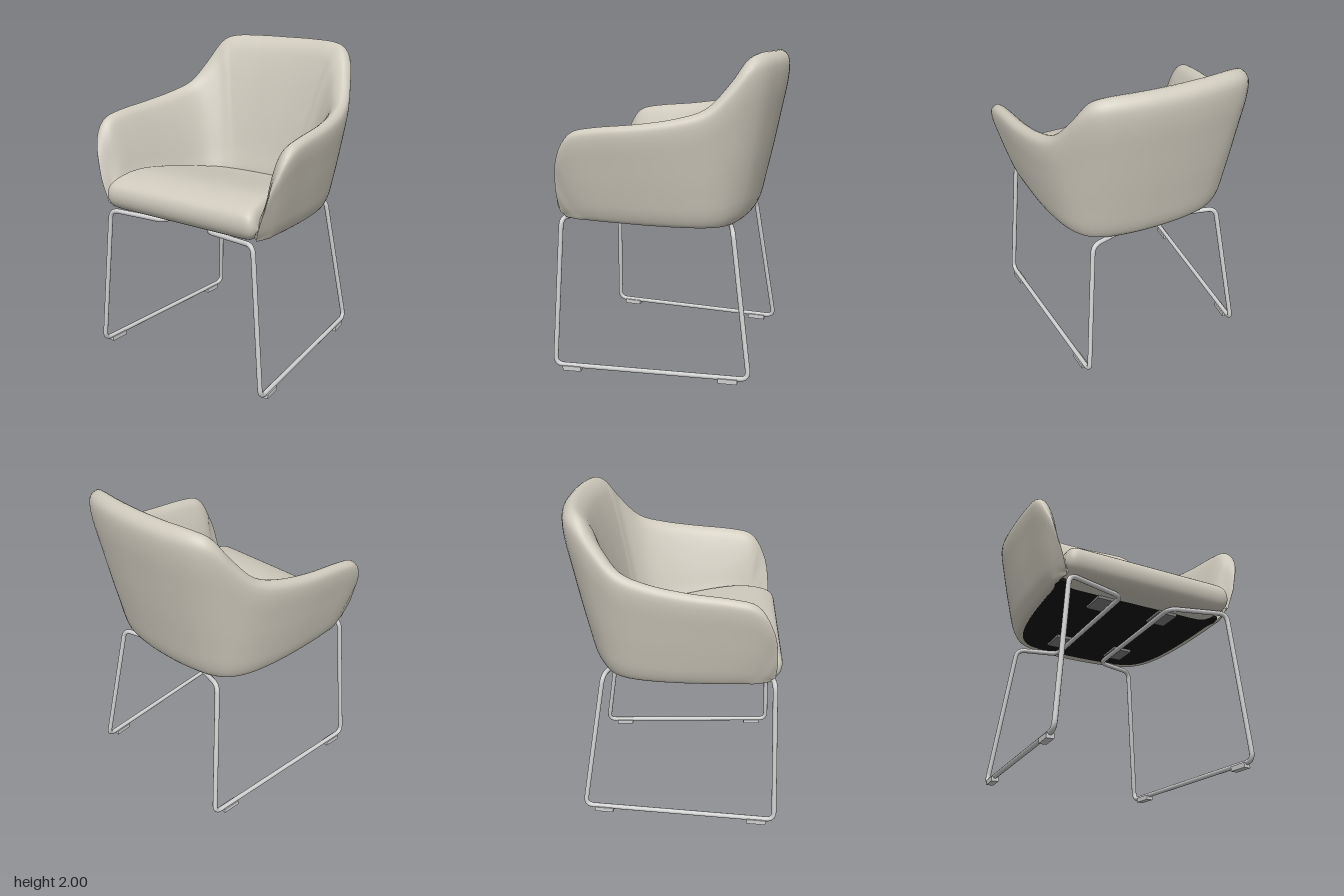
import * as THREE from 'three';

const fabric = new THREE.MeshStandardMaterial({ color: 0xcfcabd, side: THREE.DoubleSide });
fabric.name = 'fabric';
const steel = new THREE.MeshStandardMaterial({ color: 0xd0d0d0 });
steel.name = 'steel';
const black = new THREE.MeshStandardMaterial({ color: 0x151515 });
black.name = 'black';
const grey = new THREE.MeshStandardMaterial({ color: 0x808080 });
grey.name = 'grey';

const V = (x, y, z) => new THREE.Vector3(x, y, z);

// Height of the gently sloping underside
const baseY = (z) => 0.967 + 0.035 * z;

// Smooth surface over a grid; at(u, v) gives a point for u, v in 0..1
function gridSurface(at, nu, nv) {
  const pos = [], index = [];
  for (let i = 0; i <= nu; i++) {
    for (let j = 0; j <= nv; j++) pos.push(...at(i / nu, j / nv).toArray());
  }
  for (let i = 0; i < nu; i++) {
    for (let j = 0; j < nv; j++) {
      const a = i * (nv + 1) + j, b = a + nv + 1;
      index.push(a, b, a + 1, b, b + 1, a + 1);
    }
  }
  const geo = new THREE.BufferGeometry();
  geo.setAttribute('position', new THREE.Float32BufferAttribute(pos, 3));
  geo.setIndex(index);
  geo.computeVertexNormals();
  return geo;
}

function addMesh(parent, name, geo, mat) {
  const mesh = new THREE.Mesh(geo, mat);
  mesh.name = name;
  parent.add(mesh);
  return mesh;
}

// Shell stations from arm front to middle of the back:
// rim crown, outer foot, inner foot, half thickness
const stations = [
  [[0.57, 1.03, 0.62], [0.555, 1.0, 0.605], [0.545, 1.03, 0.6], 0.01],
  [[0.61, 1.2, 0.605], [0.585, 1.012, 0.55], [0.545, 1.1, 0.56], 0.035],
  [[0.66, 1.41, 0.572], [0.6, 1.015, 0.48], [0.535, 1.14, 0.48], 0.042],
  [[0.688, 1.53, 0.5], [0.605, 1.012, 0.4], [0.52, 1.15, 0.4], 0.043],
  [[0.69, 1.568, 0.36], [0.605, 1.01, 0.3], [0.495, 1.14, 0.28], 0.043],
  [[0.676, 1.593, 0.1], [0.595, 1.0, 0.08], [0.46, 1.1, 0.07], 0.045],
  [[0.643, 1.628, -0.13], [0.57, 0.995, -0.12], [0.432, 1.075, -0.06], 0.047],
  [[0.597, 1.685, -0.3], [0.53, 0.99, -0.27], [0.39, 1.06, -0.17], 0.05],
  [[0.54, 1.82, -0.425], [0.468, 0.985, -0.37], [0.325, 1.05, -0.235], 0.055],
  [[0.482, 1.95, -0.515], [0.38, 0.98, -0.43], [0.25, 1.05, -0.268], 0.065],
  [[0.4, 1.992, -0.572], [0.28, 0.975, -0.465], [0.17, 1.05, -0.288], 0.072],
  [[0.2, 2.0, -0.608], [0.14, 0.97, -0.485], [0.08, 1.05, -0.295], 0.076],
];
const middle = [[0, 2.0, -0.616], [0, 0.97, -0.49], [0, 1.05, -0.296], 0.077];

// Mirrored curve through one column of the stations
function stationCurve(pick) {
  const half = stations.map(pick);
  const mirrored = half.map(([x, y, z]) => [-x, y, z]).reverse();
  const pts = [...half, pick(middle), ...mirrored].map((p) => V(...p));
  return new THREE.CatmullRomCurve3(pts, false, 'catmullrom', 0.5);
}
const rim = stationCurve((s) => s[0]);
const outer = stationCurve((s) => s[1]);
const inner = stationCurve((s) => s[2]);
const half = stationCurve((s) => [0, s[3], 0]);

// Outward direction in plan
function outward(u) {
  const t = rim.getTangent(u);
  return V(-t.z, 0, t.x).normalize();
}

// Cross-section of the shell: underside, outer face, rim, inner face
function section(u) {
  const R = rim.getPoint(u), O = outer.getPoint(u), I = inner.getPoint(u);
  const h = half.getPoint(u).y, n = outward(u);
  const mix = (a, s, off) => a.clone().lerp(R, s).addScaledVector(n, off * h);
  const under = O.clone().addScaledVector(n, -1.6 * h);
  under.y = Math.min(O.y, baseY(under.z) + 0.004);
  const foot = O.clone().addScaledVector(n, -0.6 * h);
  foot.y = Math.min(O.y, baseY(foot.z));
  const hidden = I.clone().addScaledVector(n, 0.4 * h);
  hidden.y = Math.max(I.y - 0.1, 1.0);
  return new THREE.CatmullRomCurve3([
    under, foot, mix(O, 0.04, 0.1), mix(O, 0.25, 0.5), mix(O, 0.6, 0.9),
    mix(O, 0.87, 1.08), mix(O, 0.96, 0.8), R, mix(I, 0.95, -0.7),
    mix(I, 0.84, -0.9), mix(I, 0.5, -0.7), mix(I, 0.2, -0.3), I, hidden,
  ], false, 'centripetal');
}

// Seat profile from under the nose, over the crest and down to the back: x is half width
const seatCurve = new THREE.CatmullRomCurve3([
  V(0.53, 0.985, 0.42), V(0.55, 0.986, 0.6), V(0.565, 1.025, 0.653), V(0.57, 1.09, 0.671),
  V(0.567, 1.15, 0.652), V(0.56, 1.19, 0.58), V(0.545, 1.213, 0.44), V(0.53, 1.2, 0.28),
  V(0.5, 1.16, 0.06), V(0.46, 1.127, -0.1), V(0.39, 1.105, -0.22), V(0.27, 1.09, -0.31),
  V(0.05, 1.085, -0.34),
], false, 'centripetal');

// Closed loop through points with rounded corners
function roundedLoop(pts, r) {
  const path = new THREE.CurvePath();
  const n = pts.length;
  const toward = (a, b) => a.clone().addScaledVector(b.clone().sub(a).normalize(), r);
  pts.forEach((p, i) => {
    const next = pts[(i + 1) % n], after = pts[(i + 2) % n];
    path.add(new THREE.LineCurve3(toward(p, next), toward(next, p)));
    path.add(new THREE.QuadraticBezierCurve3(toward(next, p), next, toward(next, after)));
  });
  path.arcLengthDivisions = 800;
  return path;
}

export function createModel() {
  const chair = new THREE.Group();
  chair.name = 'armchair';

  // Wrap-around back and arms
  const rows = 96;
  const sections = Array.from({ length: rows + 1 }, (_, i) => section(i / rows));
  addMesh(chair, 'backAndArms',
    gridSurface((u, v) => sections[Math.round(u * rows)].getPoint(v), rows, 52), fabric);

  // Seat cushion, its profile drawn in at both sides to close the rounded ends
  addMesh(chair, 'seatCushion', gridSurface((u, v) => {
    const p = seatCurve.getPoint(u);
    const side = Math.sin((0.5 - v) * Math.PI);
    const close = 1 - Math.sqrt(Math.max(0, 1 - Math.pow(Math.abs(side), 28)));
    return V(p.x * side, THREE.MathUtils.lerp(p.y, 1.06, close),
      THREE.MathUtils.lerp(p.z, Math.min(p.z, 0.59), close));
  }, 48, 56), fabric);

  // Black panel under the seat
  const outline = [];
  for (let i = 0; i <= 48; i++) {
    const u = 0.02 + 0.96 * i / 48;
    const p = outer.getPoint(u).addScaledVector(outward(u), -0.055);
    outline.push(new THREE.Vector2(p.x, p.z));
  }
  const panel = new THREE.ExtrudeGeometry(new THREE.Shape(outline), { depth: 0.02, bevelEnabled: false });
  panel.rotateX(Math.PI / 2);
  const pp = panel.attributes.position;
  for (let i = 0; i < pp.count; i++) pp.setY(i, pp.getY(i) + baseY(pp.getZ(i)) + 0.02);
  panel.computeVertexNormals();
  addMesh(chair, 'undersidePanel', panel, black);

  // Sled legs, one closed tube on each side, with foot pads and clips
  for (const [s, label] of [[1, 'left'], [-1, 'right']]) {
    const frame = new THREE.Group();
    frame.name = label + 'Frame';
    const loop = roundedLoop([
      V(s * 0.635, 0.032, 0.668), V(s * 0.55, 0.975, 0.632), V(s * 0.17, 0.957, 0.56),
      V(s * 0.17, 0.934, -0.36), V(s * 0.44, 0.938, -0.435), V(s * 0.55, 0.032, -0.568),
    ], 0.055);
    addMesh(frame, 'sledLeg', new THREE.TubeGeometry(loop, 260, 0.0155, 10, true), steel);
    for (const z of [0.555, -0.44]) {
      const pad = addMesh(frame, 'footPad', new THREE.BoxGeometry(0.045, 0.03, 0.12), steel);
      pad.position.set(s * (0.592 + 0.069 * (z - 0.05)), 0.015, z);
      pad.rotation.y = s * 0.069;
    }
    for (const z of [0.39, -0.2]) {
      const clip = addMesh(frame, 'mountingClip', new THREE.BoxGeometry(0.13, 0.018, 0.16), grey);
      clip.position.set(s * 0.215, baseY(z) - 0.006, z);
    }
    chair.add(frame);
  }
  return chair;
}
